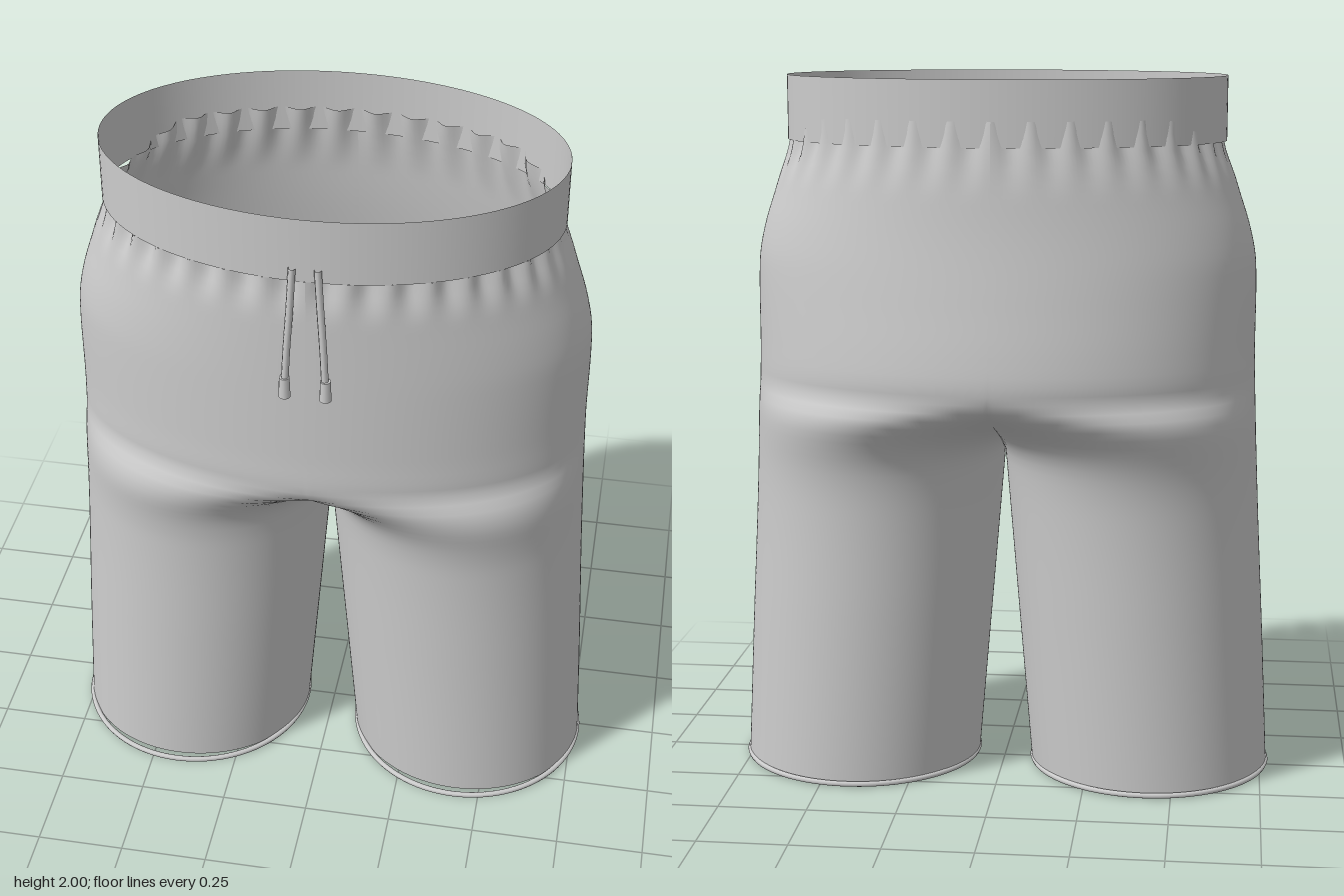
import * as THREE from 'three';

const fabric = new THREE.MeshStandardMaterial({ color: 0xcccccc, side: THREE.DoubleSide });
fabric.name = 'greyFabric';

const ZC = 0.03;      // depth of the side seams
const BAND_Y = 1.82;  // bottom of the waistband

// Smooth curve through [y, value] pairs
function profile(points) {
  const slope = (i) => {
    const a = points[Math.max(i - 1, 0)], b = points[Math.min(i + 1, points.length - 1)];
    return (b[1] - a[1]) / (b[0] - a[0]);
  };
  return (y) => {
    let i = 0;
    while (i < points.length - 2 && y > points[i + 1][0]) i++;
    const [y0, v0] = points[i], [y1, v1] = points[i + 1];
    const h = y1 - y0, t = THREE.MathUtils.clamp((y - y0) / h, 0, 1), t2 = t * t, t3 = t2 * t;
    return (2 * t3 - 3 * t2 + 1) * v0 + (t3 - 2 * t2 + t) * h * slope(i)
      + (3 * t2 - 2 * t3) * v1 + (t3 - t2) * h * slope(i + 1);
  };
}

const outerX = profile([[0, 0.77], [0.4, 0.75], [0.8, 0.728], [1.2, 0.711], [1.48, 0.708],
  [1.58, 0.69], [1.7, 0.652], [1.82, 0.62], [1.9, 0.618]]);
const frontZ = profile([[0, 0.345], [0.5, 0.348], [0.85, 0.355], [0.95, 0.368], [1.05, 0.4],
  [1.14, 0.425], [1.25, 0.426], [1.9, 0.424]]);
const backZ = profile([[0, -0.305], [0.5, -0.312], [0.8, -0.32], [0.92, -0.335], [1.0, -0.365],
  [1.1, -0.428], [1.17, -0.448], [1.25, -0.443], [1.4, -0.42], [1.6, -0.39], [1.82, -0.368], [1.9, -0.36]]);

// One half of the shorts: closed leg sections that open at the crotch into half ellipses
function halfGeometry(side) {
  const cols = 160, rows = 72, pos = [], index = [];
  for (let j = 0; j <= rows; j++) {
    const v = j / rows;
    const yBase = BAND_Y - (BAND_Y - 0.01) * v;
    const open = THREE.MathUtils.clamp((yBase - 0.92) / 0.21, 0, 1);
    const alpha = Math.PI / 2 * open * (0.6 + 0.4 * open);
    const innerX = 0.08 * Math.max(0, 1 - yBase / 0.95);
    const gather = Math.pow(THREE.MathUtils.smoothstep(yBase, 1.68, BAND_Y), 1.5);
    for (let i = 0; i <= cols; i++) {
      const a = alpha + (2 * Math.PI - 2 * alpha) * i / cols;
      const c = Math.cos(a), s = Math.sin(a);
      // the gathers reach up over the band at the back
      const y = yBase + 0.07 * gather * THREE.MathUtils.smoothstep(-s, 0.3, 0.7);
      const rx = (outerX(y) - innerX) / (1 + Math.cos(alpha));
      const rz = s > 0 ? frontZ(y) - ZC : ZC - backZ(y);
      const wave = Math.cos(36 * a) * Math.min(1, 2 * Math.abs(s));
      const k = gather * (0.011 * wave - 0.009);
      const x = outerX(y) - rx - (rx + k) * c;
      pos.push(side * Math.max(x, 0), y, ZC + (rz + k) * s);
    }
  }
  const w = cols + 1;
  for (let j = 0; j < rows; j++) {
    for (let i = 0; i < cols; i++) {
      const a = j * w + i, b = a + 1, c = a + w, d = c + 1;
      if (side > 0) index.push(a, c, b, b, c, d);
      else index.push(a, b, c, b, d, c);
    }
  }
  const g = new THREE.BufferGeometry();
  g.setAttribute('position', new THREE.Float32BufferAttribute(pos, 3));
  g.setIndex(index);
  g.computeVertexNormals();
  return g;
}

export function createModel() {
  const model = new THREE.Group();
  model.name = 'shorts';
  const add = (name, geometry) => {
    const mesh = new THREE.Mesh(geometry, fabric);
    mesh.name = name;
    model.add(mesh);
    return mesh;
  };

  // Waistband: a thin elliptical sleeve
  const band = add('waistband', new THREE.CylinderGeometry(1, 1, 2 - BAND_Y, 128, 1, true));
  band.scale.set(0.62, 1, 0.393);
  band.position.set(0, (2 + BAND_Y) / 2, 0.032);

  for (const side of [1, -1]) {
    const label = side > 0 ? 'left' : 'right';
    add(label + 'Half', halfGeometry(side));

    // Hem ring around the leg opening
    const hem = add(label + 'Hem', new THREE.TorusGeometry(0.342, 0.008, 8, 96));
    hem.rotation.x = Math.PI / 2;
    hem.position.set(side * 0.425, 0.012, ZC);

    // Drawstring hanging from the band, with its tip
    const path = new THREE.CatmullRomCurve3([
      new THREE.Vector3(side * 0.033, 1.86, 0.428),
      new THREE.Vector3(side * 0.04, 1.74, 0.432),
      new THREE.Vector3(side * 0.048, 1.62, 0.438),
      new THREE.Vector3(side * 0.053, 1.52, 0.442),
    ]);
    add(label + 'Drawstring', new THREE.TubeGeometry(path, 16, 0.01, 8));
    const tip = add(label + 'DrawstringTip', new THREE.CylinderGeometry(0.014, 0.016, 0.06, 12));
    tip.position.set(side * 0.054, 1.505, 0.442);
  }
  return model;
}
